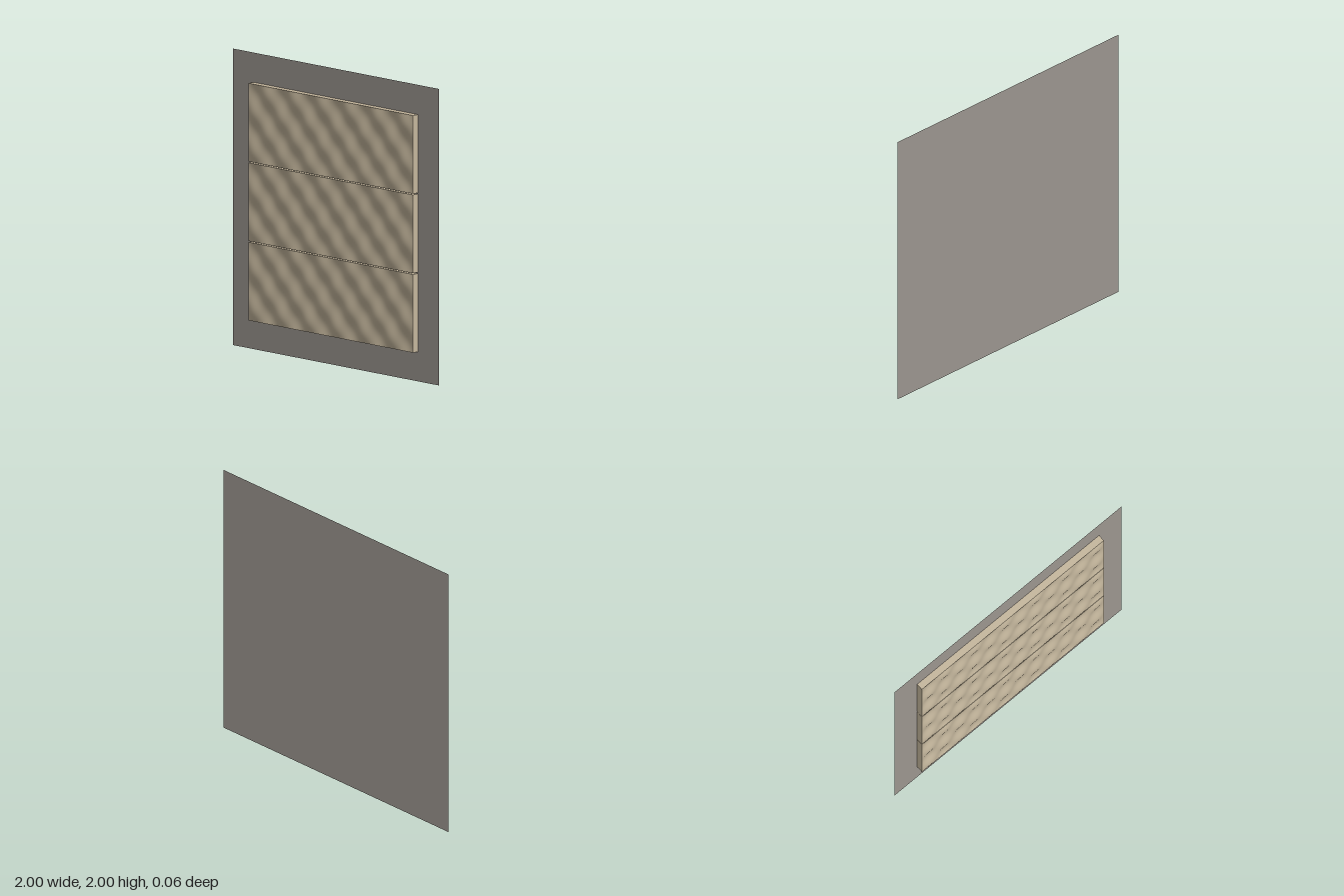
import * as THREE from 'three';

const WIDTH = 1.6, HEIGHT = 0.528, GAP = 0.008;
const BACK = -0.029, FACE = 0.019, RELIEF = 0.01;
const COLS = 12, ROWS = 4, STEPS = 8;

// Slab whose front face is pressed into alternating bumps and dimples
function quiltedSlab() {
  const depth = FACE - BACK;
  const geo = new THREE.BoxGeometry(WIDTH, HEIGHT, depth, COLS * STEPS, ROWS * STEPS, 1);
  const pos = geo.attributes.position;
  for (let i = 0; i < pos.count; i++) {
    if (pos.getZ(i) < 0) continue;
    const u = pos.getX(i) / WIDTH + 0.5;
    const v = pos.getY(i) / HEIGHT + 0.5;
    const wave = Math.sin(u * COLS * Math.PI) * Math.sin(v * ROWS * Math.PI);
    pos.setZ(i, depth / 2 + RELIEF * wave);
  }
  geo.computeVertexNormals();
  return geo;
}

export function createModel() {
  const wallGrey = new THREE.MeshStandardMaterial({ color: 0x9c9690, side: THREE.DoubleSide });
  wallGrey.name = 'wallGrey';
  const panelBeige = new THREE.MeshStandardMaterial({ color: 0xc6b89e });
  panelBeige.name = 'panelBeige';

  const model = new THREE.Group();
  model.name = 'wallPanels';

  // Thin backing wall
  const wall = new THREE.Mesh(new THREE.PlaneGeometry(2, 2), wallGrey);
  wall.name = 'backWall';
  wall.position.set(0, 1, -0.03);
  model.add(wall);

  // Three stacked panels with narrow gaps
  const geo = quiltedSlab();
  ['lowerPanel', 'middlePanel', 'upperPanel'].forEach((name, i) => {
    const panel = new THREE.Mesh(geo, panelBeige);
    panel.name = name;
    panel.position.set(0, 1 + (i - 1) * (HEIGHT + GAP), (FACE + BACK) / 2);
    model.add(panel);
  });

  return model;
}
